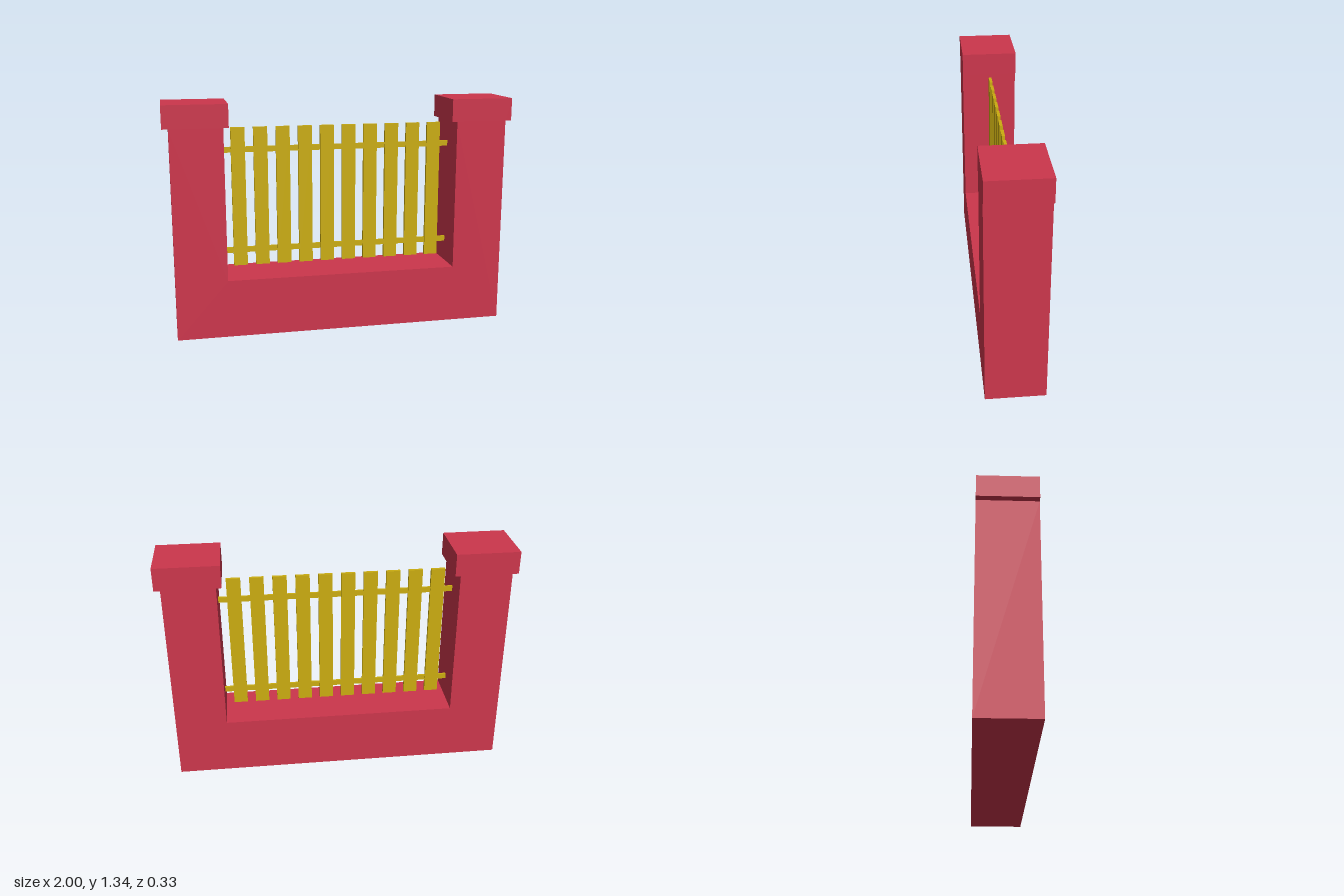
import * as THREE from 'three';

const brick = new THREE.MeshStandardMaterial({ color: 0xcc364c, flatShading: true });
const wood = new THREE.MeshStandardMaterial({ color: 0xcaac10, flatShading: true });

function addBox(parent, name, [w, h, d], [x, y, z]) {
  const mesh = new THREE.Mesh(new THREE.BoxGeometry(w, h, d), wood);
  mesh.name = name;
  mesh.position.set(x, y, z);
  parent.add(mesh);
}

export function createModel() {
  const model = new THREE.Group();
  model.name = 'fenceSection';

  // Low wall with two capped pillars: half the outline, mirrored
  const half = [
    [0.965, 0], [0.965, 1.205], [1, 1.205], [1, 1.335],
    [0.64, 1.335], [0.64, 1.205], [0.67, 1.205], [0.67, 0.335],
  ];
  const mirrored = half.map(([x, y]) => [-x, y]).reverse();
  const outline = [...half, ...mirrored].map(([x, y]) => new THREE.Vector2(x, y));
  const depth = 0.33;
  const wallGeometry = new THREE.ExtrudeGeometry(new THREE.Shape(outline), { depth, bevelEnabled: false });
  wallGeometry.translate(0, 0, -depth / 2);
  const wall = new THREE.Mesh(wallGeometry, brick);
  wall.name = 'wallWithPillars';
  model.add(wall);

  // Picket panel between the pillars
  const panel = new THREE.Group();
  panel.name = 'picketPanel';
  panel.position.z = -0.003;
  model.add(panel);

  const count = 10, pitch = 0.129;
  for (let i = 0; i < count; i++) {
    addBox(panel, 'picket', [0.08, 0.81, 0.018], [(i - (count - 1) / 2) * pitch, 0.782, 0]);
  }
  // Horizontal rails, thinner than the pickets
  for (const y of [0.47, 1.06]) {
    addBox(panel, 'rail', [1.345, 0.032, 0.012], [0, y, 0]);
  }
  return model;
}
